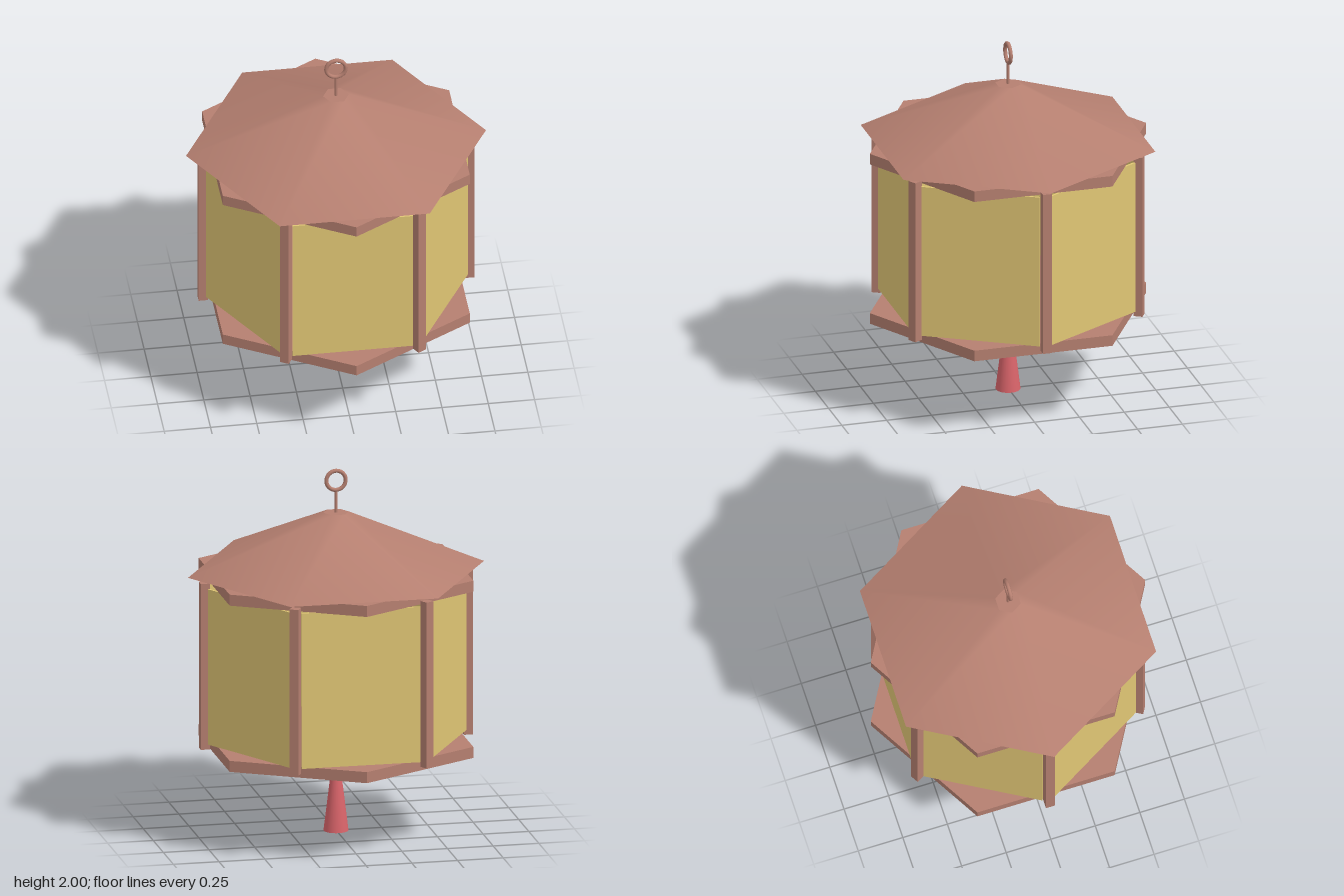
import * as THREE from 'three';

const material = (name, color) => {
  const m = new THREE.MeshStandardMaterial({ color });
  m.name = name;
  return m;
};

export function createModel() {
  const group = new THREE.Group();
  const wood = material('reddish wood', 0xb57f70);
  const paper = material('yellow paper', 0xe0c674);
  const red = material('red tassel', 0xd9646a);

  const add = (name, geometry, mat, x, y, z) => {
    const mesh = new THREE.Mesh(geometry, mat);
    mesh.name = name;
    mesh.position.set(x, y, z);
    group.add(mesh);
    return mesh;
  };

  // Hexagonal floor and ceiling plates, corners on the z axis, crisp edges
  const plate = new THREE.CylinderGeometry(0.77, 0.77, 0.061, 6).toNonIndexed();
  plate.computeVertexNormals();
  add('bottomPlate', plate, wood, 0, 0.4925, 0);
  add('topPlate', plate, wood, 0, 1.4125, 0);

  // Softly shaded hexagonal roof, corners on the x axis
  const roof = new THREE.CylinderGeometry(0.07, 0.81, 0.317, 6);
  add('roof', roof, wood, 0, 1.6015, 0).rotation.y = Math.PI / 6;

  // Corner posts and the paper panels between them
  const postRadius = 0.72;
  const panelRadius = postRadius * Math.cos(Math.PI / 6);
  const post = new THREE.BoxGeometry(0.05, 0.918, 0.05);
  const panel = new THREE.BoxGeometry(0.012, 0.86, 0.65);
  for (let i = 0; i < 6; i++) {
    const a = (i * Math.PI) / 3;
    const b = a + Math.PI / 6;
    add(`post${i + 1}`, post, wood,
      postRadius * Math.cos(a), 0.952, postRadius * Math.sin(a)).rotation.y = -a;
    add(`paperPanel${i + 1}`, panel, paper,
      panelRadius * Math.cos(b), 0.9525, panelRadius * Math.sin(b)).rotation.y = -b;
  }

  // Hanging rod and ring
  add('hangingRod', new THREE.CylinderGeometry(0.008, 0.008, 0.125, 12), wood, 0, 1.8175, 0);
  add('hangingRing', new THREE.TorusGeometry(0.053, 0.011, 12, 32), wood, 0, 1.936, 0);

  // Tassel below the floor
  add('tasselPeg', new THREE.CylinderGeometry(0.018, 0.018, 0.06, 12), wood, 0, 0.445, 0);
  add('tasselBead', new THREE.SphereGeometry(0.052, 24, 16), red, 0, 0.383, 0);
  add('tassel', new THREE.CylinderGeometry(0.025, 0.067, 0.345, 24), red, 0, 0.1725, 0);

  return group;
}
